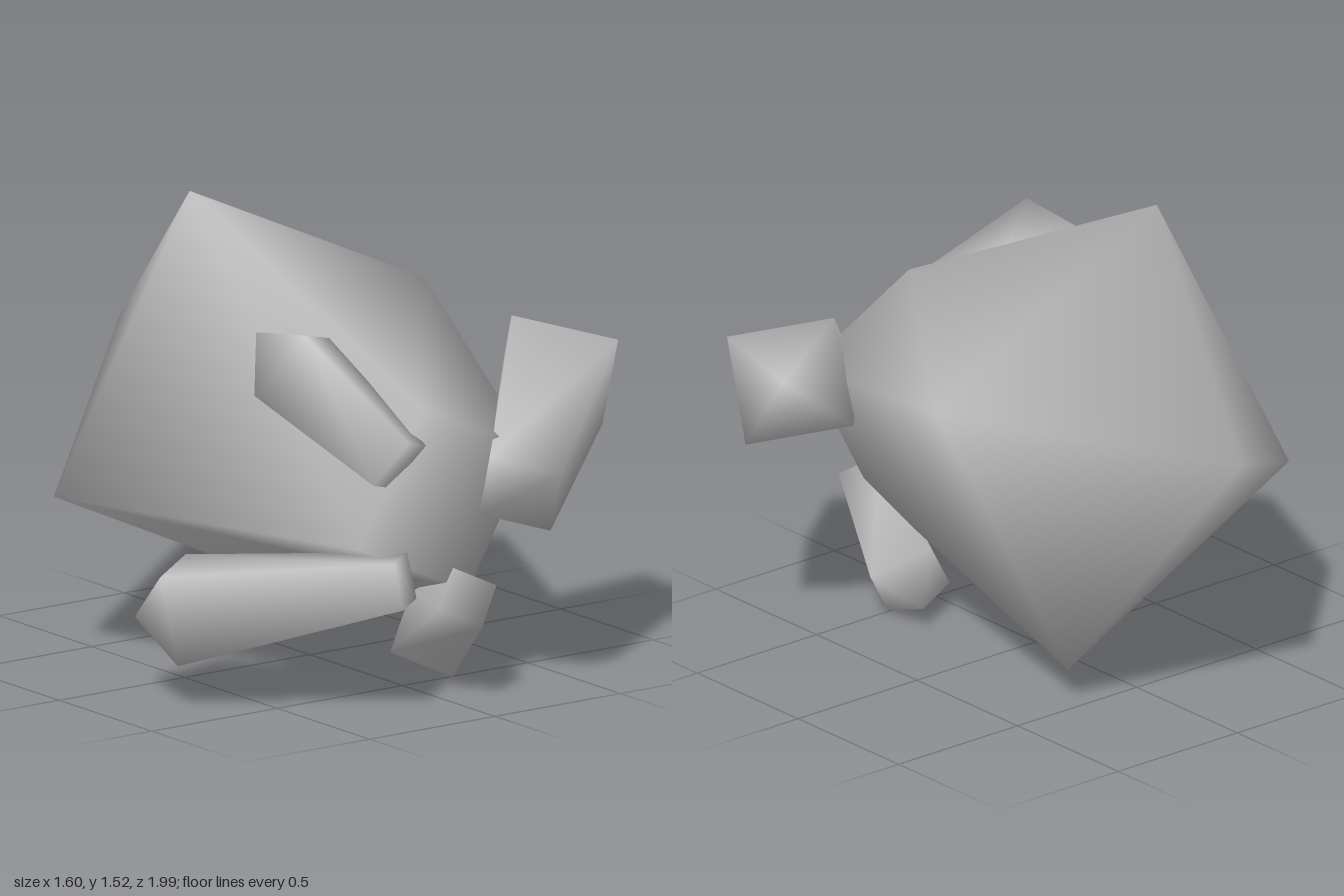
import * as THREE from 'three';

const stone = new THREE.MeshStandardMaterial({ color: 0xbcbcbc });
stone.name = 'grey stone';

// Four-sided crystal: small base ring, wide ring, then a point.
// corner is the offset from the wide ring's centre to one of its corners.
function crystal(name, base, ring, tip, corner, taper) {
  const [b, r, t, u] = [base, ring, tip, corner].map((p) => new THREE.Vector3(...p));
  const axis = r.clone().sub(b).normalize();
  u.addScaledVector(axis, -u.dot(axis));
  const v = axis.clone().cross(u);

  const points = [];
  for (const [centre, scale] of [[b, taper], [r, 1]]) {
    for (let k = 0; k < 4; k++) {
      const a = (k * Math.PI) / 2;
      const p = centre.clone().addScaledVector(u, Math.cos(a) * scale).addScaledVector(v, Math.sin(a) * scale);
      points.push(...p.toArray());
    }
  }
  points.push(...t.toArray());

  // base cap, sides and point share corners so the shading is smooth
  const index = [0, 3, 2, 0, 2, 1];
  for (let k = 0; k < 4; k++) {
    const n = (k + 1) % 4;
    index.push(k, n, 4 + n, k, 4 + n, 4 + k, 4 + k, 4 + n, 8);
  }

  const geometry = new THREE.BufferGeometry();
  geometry.setAttribute('position', new THREE.Float32BufferAttribute(points, 3));
  geometry.setIndex(index);
  geometry.computeVertexNormals();
  const mesh = new THREE.Mesh(geometry, stone);
  mesh.name = name;
  return mesh;
}

export function createModel() {
  const group = new THREE.Group();
  group.name = 'crystalCluster';
  group.add(
    // large central crystal pointing backwards
    crystal('mainCrystal', [-0.02, 0.675, 0.758], [-0.02, 0.82, -0.355], [-0.02, 0.925, -1], [-0.265, 0.705, 0.112], 0.465),
    // smaller crystals fanned around its narrow end
    crystal('upperLeftCrystal', [0.2, 0.68, 0.865], [0.654, 0.94, 0.45], [0.8, 1.02, 0.31], [0.107, 0.124, 0.187], 0.667),
    crystal('upperRightCrystal', [-0.247, 0.833, 0.82], [-0.408, 1.11, 0.455], [-0.465, 1.21, 0.34], [0.167, 0.066, -0.025], 0.7),
    crystal('lowerRightCrystal', [-0.208, 0.44, 0.797], [-0.663, 0.292, 0.206], [-0.757, 0.26, 0.08], [-0.137, 0.144, 0.069], 0.52),
    crystal('lowerLeftCrystal', [0.05, 0.345, 0.785], [0.172, 0.13, 0.424], [0.205, 0.07, 0.32], [0.02, -0.124, 0.088], 0.7),
  );
  return group;
}
